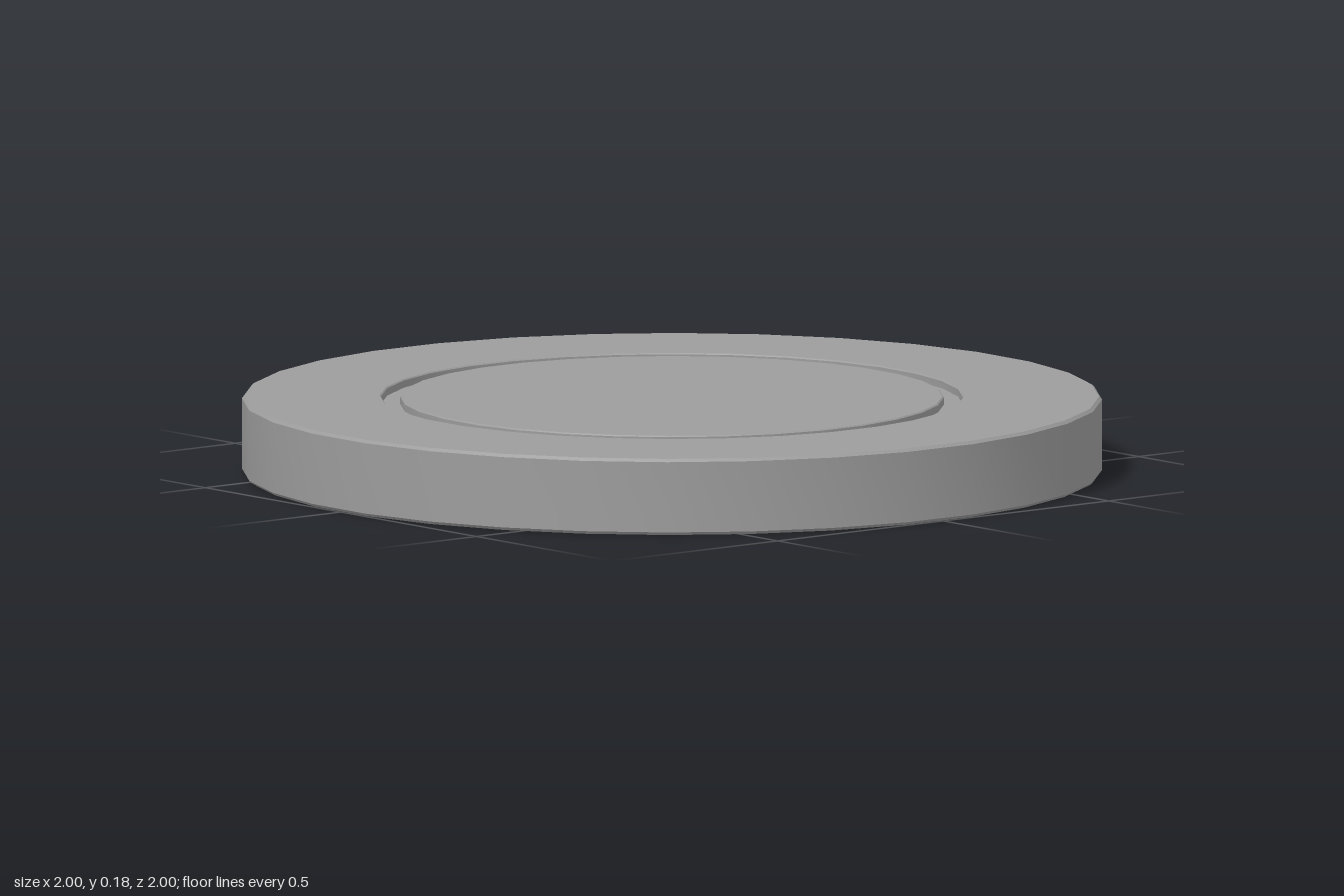
import * as THREE from 'three';
import { toCreasedNormals } from 'three/addons/utils/BufferGeometryUtils.js';

const SIDES = 32;
const TURN = Math.PI / SIDES - 0.01; // flats of the polygon nearly face the axes
const HEIGHT = 0.18;
const RADIUS = 1 / Math.cos(Math.PI / SIDES);
const BEVEL = 0.007;
const GROOVE = { inner: 0.635, outer: 0.683, depth: 0.02, bevel: 0.003 };

export function createModel() {
  const group = new THREE.Group();
  group.name = 'groovedDisc';

  // Underside profile from the centre, through the groove, to the bevelled rim
  const lower = [
    [0, 0],
    [GROOVE.inner - GROOVE.bevel, 0],
    [GROOVE.inner, GROOVE.bevel],
    [GROOVE.inner, GROOVE.depth],
    [GROOVE.outer - GROOVE.bevel, GROOVE.depth],
    [GROOVE.outer - GROOVE.bevel, GROOVE.bevel],
    [GROOVE.outer, 0],
    [RADIUS - BEVEL, 0],
    [RADIUS, BEVEL],
  ];
  // The top face mirrors the underside
  const upper = lower.map(([r, y]) => [r, HEIGHT - y]).reverse();
  const profile = [...lower, ...upper].map(([r, y]) => new THREE.Vector2(r, y));

  const lathe = new THREE.LatheGeometry(profile, SIDES, TURN);
  const disc = new THREE.Mesh(
    toCreasedNormals(lathe, 0.5),
    new THREE.MeshStandardMaterial({ color: 0x9c9c9c })
  );
  disc.name = 'disc';
  group.add(disc);

  return group;
}
